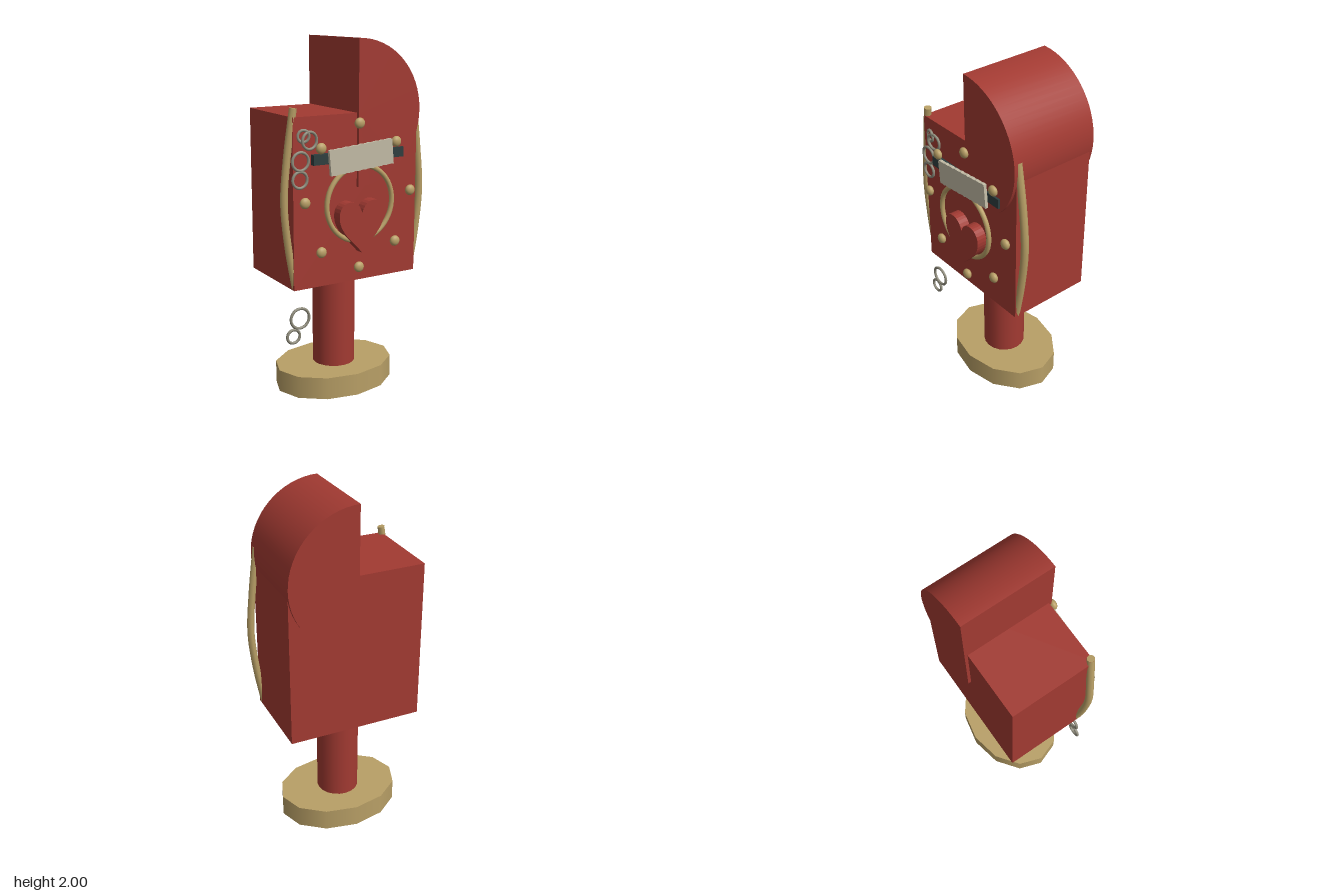
import * as THREE from 'three';

export function createModel() {
  const model = new THREE.Group();
  model.name = 'mailbox';

  const mat = (name, color, extra = {}) => {
    const m = new THREE.MeshStandardMaterial({ color, ...extra });
    m.name = name;
    return m;
  };
  const red = mat('red paint', 0xa23a32);
  const brass = mat('brass', 0xb89f66);
  const iron = mat('grey iron', 0x8f8c7c);
  const dark = mat('dark slot', 0x2f3e3f);
  const paper = mat('paper', 0xc2bba5);

  const add = (name, geometry, material, x = 0, y = 0, z = 0) => {
    const mesh = new THREE.Mesh(geometry, material);
    mesh.name = name;
    mesh.position.set(x, y, z);
    model.add(mesh);
    return mesh;
  };

  // Oval foot and post
  const foot = add('foot', new THREE.CylinderGeometry(0.36, 0.36, 0.127, 12), brass, 0, 0.0635, -0.016);
  foot.scale.z = 0.273 / 0.36;
  add('post', new THREE.CylinderGeometry(0.123, 0.123, 0.58, 20), red, 0, 0.4, -0.015);

  // Box body
  add('body', new THREE.BoxGeometry(0.78, 0.928, 0.498), red, 0, 1.146, -0.018);

  // Half-round hood, closed by a flat wall at x = 0
  const half = new THREE.Shape();
  half.moveTo(0, -0.395);
  half.absarc(0, 0, 0.395, -Math.PI / 2, Math.PI / 2, false);
  half.closePath();
  const hood = new THREE.Group();
  hood.name = 'hood';
  hood.position.set(0, 1.605, -0.018);
  const zFront = 0.267;
  const curved = new THREE.Mesh(
    new THREE.CylinderGeometry(0.395, 0.395, zFront * 2, 32, 1, true, 0, Math.PI), red);
  curved.name = 'hoodCurve';
  curved.rotation.x = Math.PI / 2;
  hood.add(curved);
  for (const side of [1, -1]) {
    const start = side > 0 ? -Math.PI / 2 : Math.PI / 2;
    const cap = new THREE.Mesh(new THREE.CircleGeometry(0.395, 32, start, Math.PI), red);
    cap.name = side > 0 ? 'hoodFront' : 'hoodBack';
    cap.position.z = side * zFront;
    if (side < 0) cap.rotation.y = Math.PI;
    hood.add(cap);
  }
  // the back cap is turned about y, so its arc is mirrored to the same side
  const wall = new THREE.Mesh(new THREE.PlaneGeometry(zFront * 2, 0.79), red);
  wall.name = 'hoodWall';
  wall.rotation.y = -Math.PI / 2;
  hood.add(wall);
  model.add(hood);

  // Bowed brass trims on both sides
  for (const s of [-1, 1]) {
    const path = new THREE.CatmullRomCurve3([
      [0.37, 0.685, 0.207], [0.412, 0.93, 0.207], [0.432, 1.16, 0.207],
      [0.412, 1.4, 0.207], [0.376, 1.655, 0.212],
    ].map(([x, y, z]) => new THREE.Vector3(s * x, y, z)));
    add(s > 0 ? 'leftTrim' : 'rightTrim', new THREE.TubeGeometry(path, 32, 0.021, 8), brass);
    for (const t of [0, 1]) {
      const p = path.getPoint(t);
      const end = add('trimEnd', new THREE.CircleGeometry(0.021, 8), brass, p.x, p.y, p.z);
      end.lookAt(p.clone().addScaledVector(path.getTangent(t), t ? 1 : -1));
    }
  }

  // Eight rivets around the front
  const rivet = new THREE.SphereGeometry(0.03, 16, 12);
  for (let i = 0; i < 8; i++) {
    const a = (i * Math.PI) / 4;
    add('rivet', rivet, brass, 0.335 * Math.cos(a), 1.161 + 0.397 * Math.sin(a), 0.258)
      .scale.z = 0.68;
  }

  // Open ring around the heart
  const gap = 0.31;
  const ring = add('frontRing', new THREE.TorusGeometry(0.207, 0.014, 10, 48, 2 * Math.PI - 2 * gap),
    brass, 0, 1.125, 0.264);
  ring.rotation.z = -Math.PI / 2 + gap;

  // Raised heart
  const heart = new THREE.Shape();
  heart.moveTo(0, 0.852);
  heart.bezierCurveTo(0.03, 0.9, 0.143, 0.97, 0.143, 1.065);
  heart.bezierCurveTo(0.143, 1.165, 0.02, 1.165, 0, 1.075);
  heart.bezierCurveTo(-0.02, 1.165, -0.143, 1.165, -0.143, 1.065);
  heart.bezierCurveTo(-0.143, 0.97, -0.03, 0.9, 0, 0.852);
  add('heart', new THREE.ExtrudeGeometry(heart, { depth: 0.065, bevelEnabled: false, curveSegments: 12 }),
    red, 0, 0, 0.225);

  // Mail slot
  add('slot', new THREE.BoxGeometry(0.567, 0.055, 0.034), dark, 0, 1.383, 0.245);

  // Tilted letter with slightly ragged long edges
  const sheet = new THREE.Shape();
  const n = 24;
  const nick = (i) => 0.002 * Math.sin(i * 2.3);
  sheet.moveTo(-0.198, -0.069);
  for (let i = 1; i <= n; i++) sheet.lineTo(-0.198 + (0.396 * i) / n, -0.069 + nick(i));
  for (let i = n; i >= 0; i--) sheet.lineTo(-0.198 + (0.396 * i) / n, 0.069 + nick(i + 5));
  sheet.closePath();
  add('letter', new THREE.ExtrudeGeometry(sheet, { depth: 0.018, bevelEnabled: false }),
    paper, 0.002, 1.379, 0.265).rotation.z = 0.088;

  // Chain links: x, y, z, radius, turn about y
  const links = [
    [-0.35, 1.38, 0.24, 0.048, 0], [-0.354, 1.283, 0.24, 0.043, 0],
    [-0.295, 1.485, 0.24, 0.045, 0.1], [-0.33, 1.51, 0.236, 0.031, -0.2],
    [-0.344, 0.512, 0.208, 0.056, 0], [-0.384, 0.415, 0.206, 0.038, 0],
  ];
  for (const [x, y, z, r, turn] of links) {
    add('chainLink', new THREE.TorusGeometry(r, 0.008, 8, 28), iron, x, y, z).rotation.y = turn;
  }

  return model;
}
